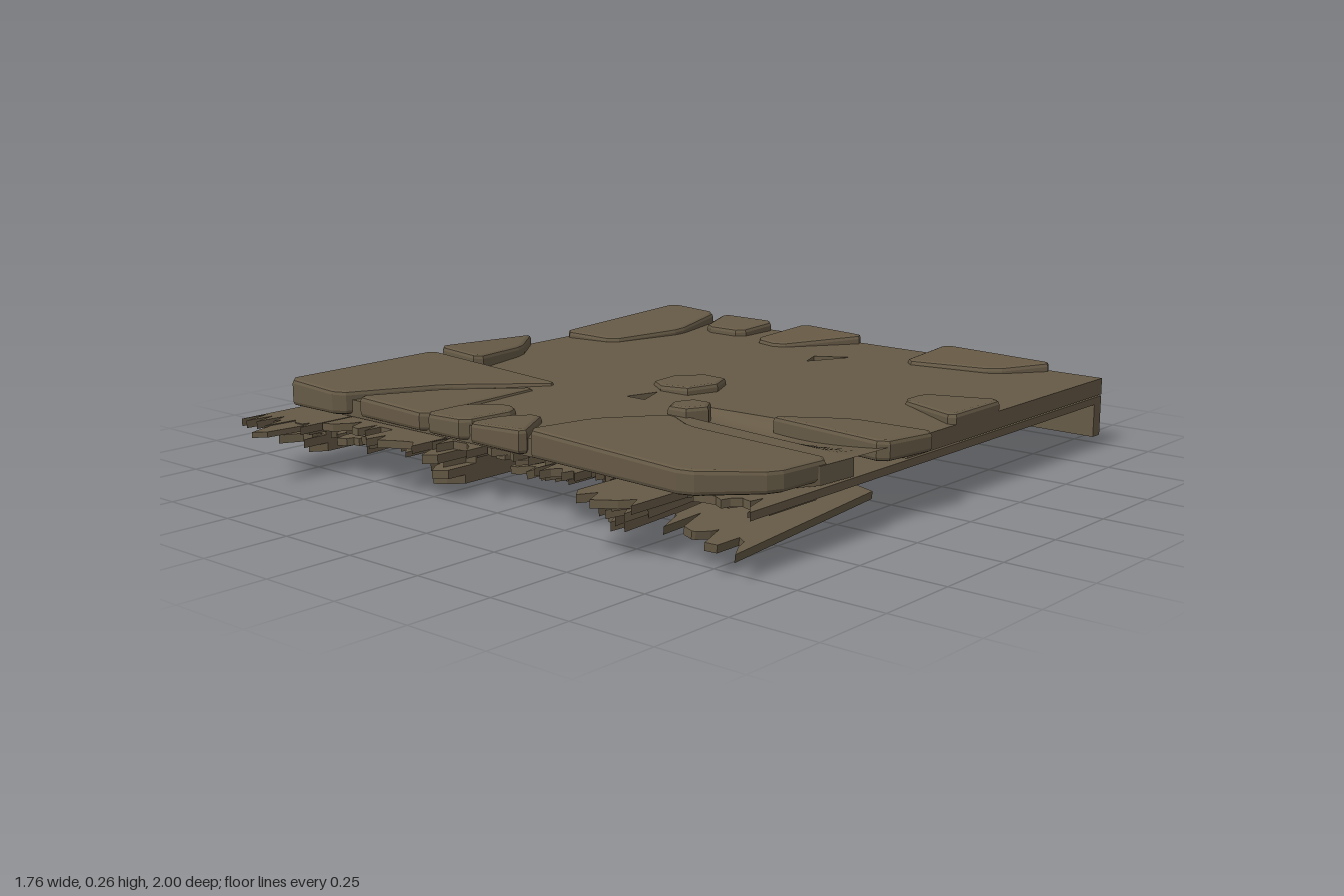
import * as THREE from 'three';

const weathered = new THREE.MeshStandardMaterial({ color: 0x665a46, side: THREE.DoubleSide });
weathered.name = 'weatheredBrown';

// Small seeded generator for splintered ends and rough stones
function seeded(seed) {
  let s = seed * 7919 + 13;
  return () => (s = (s * 16807) % 2147483647) / 2147483647;
}

const toPoints = (pts) => pts.map(([x, z]) => new THREE.Vector2(x, -z));

// Plan outline in (x, z) raised from y0 to y1
function prism(pts, y0, y1, holes = [], bevel = 0) {
  const shape = new THREE.Shape(toPoints(pts));
  shape.holes = holes.map((h) => new THREE.Path(toPoints(h)));
  const geo = new THREE.ExtrudeGeometry(shape, {
    depth: y1 - y0 - 2 * bevel, bevelEnabled: bevel > 0, bevelThickness: bevel,
    bevelSize: bevel, bevelOffset: -bevel, bevelSegments: 2,
  });
  geo.rotateX(-Math.PI / 2);
  geo.translate(0, y0 + bevel, 0);
  return geo;
}

// Replaces each corner of an outline by a short chipped edge
function chip(pts, cut) {
  const toward = ([ax, az], [bx, bz]) => {
    const t = cut / Math.hypot(bx - ax, bz - az);
    return [ax + (bx - ax) * t, az + (bz - az) * t];
  };
  const n = pts.length;
  return pts.flatMap((p, i) => [toward(p, pts[(i + n - 1) % n]), toward(p, pts[(i + 1) % n])]);
}

// Uneven round outline
function roughDisc(cx, cz, radius, sides, seed) {
  const rnd = seeded(seed);
  return Array.from({ length: sides }, (_, i) => {
    const a = (i / sides) * Math.PI * 2, r = radius * (0.9 + 0.2 * rnd());
    return [cx + r * Math.cos(a), cz + r * Math.sin(a)];
  });
}

// Bevelled stone plate whose top leans along x and z
function plate(pts, top, tiltX, tiltZ) {
  const geo = prism(pts, 0.17, top, [], 0.012);
  geo.computeBoundingBox();
  const c = geo.boundingBox.getCenter(new THREE.Vector3());
  const p = geo.attributes.position;
  for (let i = 0; i < p.count; i++) {
    if (p.getY(i) > c.y) p.setY(i, p.getY(i) + tiltX * (p.getX(i) - c.x) + tiltZ * (p.getZ(i) - c.z));
  }
  geo.computeVertexNormals();
  return geo;
}

// Board running along z with a jagged front end
function raggedBoard(x0, x1, z0, z1, y0, y1, seed, jag = 0.09) {
  const rnd = seeded(seed);
  const pts = [[x1, z0], [x0, z0]];
  const n = Math.max(3, Math.round((x1 - x0) / 0.03));
  for (let i = 0; i <= n; i++) {
    const x = x0 + ((x1 - x0) * i) / n;
    pts.push([x, z1 - jag * rnd()]);
    if (i < n && rnd() > 0.5) pts.push([x + 0.008, z1 - jag * (0.4 + rnd())]);
  }
  return prism(pts, y0, y1);
}

export function createModel() {
  const group = new THREE.Group();
  const add = (name, geo, parent = group) => {
    const mesh = new THREE.Mesh(geo, weathered);
    mesh.name = name;
    parent.add(mesh);
    return mesh;
  };
  const addGroup = (name) => {
    const part = new THREE.Group();
    part.name = name;
    group.add(part);
    return part;
  };

  // Stone slab with two pits, a through hole and an opening for the groove
  const pits = [
    [[-0.02, -0.68], [0.08, -0.74], [0.01, -0.6]],
    [[-0.07, 0.16], [-0.04, 0.06], [0, 0.16]],
    [[-0.485, 0.41], [-0.45, 0.37], [-0.465, 0.43]],
  ];
  add('stoneSlab', prism(
    [[-0.87, -0.97], [0.85, -0.97], [0.85, 0.08], [0.16, 0.12], [0.16, 0.24], [0.85, 0.32],
      [0.84, 0.45], [0.68, 0.71], [-0.86, 0.71]], 0.163, 0.213, pits));

  // Groove sunk into the slab, steep at the back and shallow at the front
  const groove = new THREE.PlaneGeometry(1, 1, 16, 12).rotateX(-Math.PI / 2);
  const gp = groove.attributes.position;
  for (let i = 0; i < gp.count; i++) {
    const u = gp.getX(i) + 0.5, v = gp.getZ(i) + 0.5;
    const back = 0.12 - 0.04 * u, front = 0.24 + 0.08 * u;
    const dip = Math.sin(Math.PI * Math.pow(v, 0.75)) * Math.sin(Math.PI * Math.min(1, 0.12 + u * 0.85));
    gp.setXYZ(i, 0.16 + 0.69 * u, 0.213 - 0.035 * Math.max(0, dip), back + (front - back) * v);
  }
  groove.computeVertexNormals();
  add('slabGroove', groove);

  // Raised broken plates around the rim: top height, lean along x and z, corners
  const plates = addGroup('brokenPlates');
  const addPlates = (name, list) => list.forEach(([top, tiltX, tiltZ, ...corners]) =>
    add(name, plate(chip(corners, 0.025), top, tiltX, tiltZ), plates));
  addPlates('backPlate', [
    [0.24, -0.05, -0.04, [-0.87, -0.97], [-0.67, -0.97], [-0.6, -0.7], [-0.67, -0.43], [-0.87, -0.4]],
    [0.24, 0, -0.04, [-0.64, -0.98], [-0.41, -0.98], [-0.41, -0.79], [-0.57, -0.79]],
    [0.235, 0, -0.07, [-0.3, -1], [-0.02, -0.97], [-0.2, -0.72], [-0.32, -0.75]],
    [0.235, 0, -0.07, [0.27, -1], [0.69, -0.97], [0.57, -0.81], [0.27, -0.76]],
  ]);
  addPlates('sidePlate', [
    [0.233, 0.08, 0, [0.58, -0.4], [0.85, -0.4], [0.85, -0.13], [0.58, -0.29]],
    [0.227, 0, 0.02, [0.62, 0], [0.88, -0.02], [0.85, 0.19], [0.43, 0.14]],
    [0.25, -0.06, 0.05, [-0.87, -0.25], [-0.74, -0.08], [-0.68, 0.17], [-0.87, 0.17]],
  ]);
  addPlates('frontPlate', [
    [0.237, -0.05, 0, [-0.88, 0.18], [-0.32, 0.18], [-0.53, 0.45], [-0.65, 0.75], [-0.88, 0.75]],
    [0.226, -0.02, 0.01, [-0.5, 0.47], [-0.33, 0.26], [-0.3, 0.73], [-0.61, 0.72]],
    [0.23, 0.03, 0, [-0.31, 0.57], [-0.2, 0.5], [-0.12, 0.55], [-0.14, 0.73], [-0.31, 0.73]],
    [0.233, 0.06, 0, [-0.12, 0.6], [-0.03, 0.54], [0.1, 0.74], [-0.14, 0.73]],
    [0.237, -0.02, 0.02, [0.1, 0.74], [0.13, 0.52], [0.25, 0.32], [0.37, 0.39], [0.84, 0.4], [0.83, 0.61], [0.67, 0.77]],
  ]);
  add('looseStone', plate(roughDisc(-0.02, -0.06, 0.115, 7, 5), 0.232, 0.06, 0), plates);
  add('looseStone', plate(roughDisc(0.21, 0.205, 0.065, 6, 9), 0.24, 0.03, 0), plates);

  // Plank floor below the slab: left edge, right edge, front end
  const planks = addGroup('plankFloor');
  [[-0.87, -0.655, 0.94], [-0.65, -0.488, 0.83], [-0.437, -0.25, 0.87], [-0.245, -0.1, 0.79], [-0.095, 0.165, 0.73],
    [0.17, 0.285, 0.82], [0.29, 0.395, 0.74], [0.4, 0.6, 0.91], [0.605, 0.85, 0.74]].forEach(([x0, x1, end], i) => {
    add('plank', raggedBoard(x0, x1, -0.97, end, 0.137, 0.159, i + 3), planks);
    add('splinterLayer', raggedBoard(x0 + 0.02, x1 - 0.02, 0.45, end - 0.03, 0.125, 0.139, i + 31, 0.14), planks);
  });
  add('plankTip', prism([[-0.78, 0.8], [-0.67, 0.8], [-0.69, 0.97], [-0.72, 1]], 0.14, 0.156), planks);
  // Narrow plank interrupted at the through hole
  [[-0.97, 0.36], [0.43, 0.73]].forEach(([z0, z1]) =>
    add('narrowPlank', new THREE.BoxGeometry(0.051, 0.022, z1 - z0).translate(-0.4625, 0.148, (z0 + z1) / 2), planks));

  // Broken planks hanging below the front edge: x range, z range, height, pitch, roll
  [[-0.7, -0.47, 0.35, 0.8, 0.115, 0.04, 0], [-0.08, 0.15, 0.3, 0.7, 0.105, 0.1, 0.1],
    [0.62, 0.86, 0.25, 0.83, 0.1, 0.07, -0.16], [0.42, 0.58, 0.5, 0.85, 0.118, 0.05, 0.06],
  ].forEach(([x0, x1, z0, z1, y, pitch, roll], i) => {
    const w = (x1 - x0) / 2, l = (z1 - z0) / 2;
    const board = add('hangingPlank', raggedBoard(-w, w, -l, l, -0.011, 0.011, i + 60, 0.1), planks);
    board.position.set((x0 + x1) / 2, y, (z0 + z1) / 2);
    board.rotation.set(pitch, 0, roll);
  });

  // Joists and the cross beam at the back
  const joists = addGroup('joists');
  add('backBeam', new THREE.BoxGeometry(1.72, 0.1, 0.04).translate(-0.01, 0.087, -0.95), joists);

  // A joist is stacked from layers so that its end is splintered
  function joist(name, x, z0, z1, seed) {
    const part = new THREE.Group();
    part.name = name;
    [0, 0.02, -0.03, 0.04].forEach((d, i) => add('joistLayer',
      raggedBoard(x - 0.05, x + 0.05, z0, z1 + d, 0.037 + i * 0.025, 0.062 + i * 0.025, seed + i, 0.12), part));
    joists.add(part);
    return part;
  }
  joist('leftJoist', -0.82, -0.94, 0.78, 80);
  joist('middleJoist', -0.24, -0.94, 0.78, 90);
  joist('brokenJoistBack', 0.33, -0.94, -0.17, 100);
  const sunk = joist('brokenJoistFront', 0.33, -0.21, 0.68, 110);
  sunk.rotation.x = 0.035;
  sunk.position.y = -0.011;

  return group;
}
